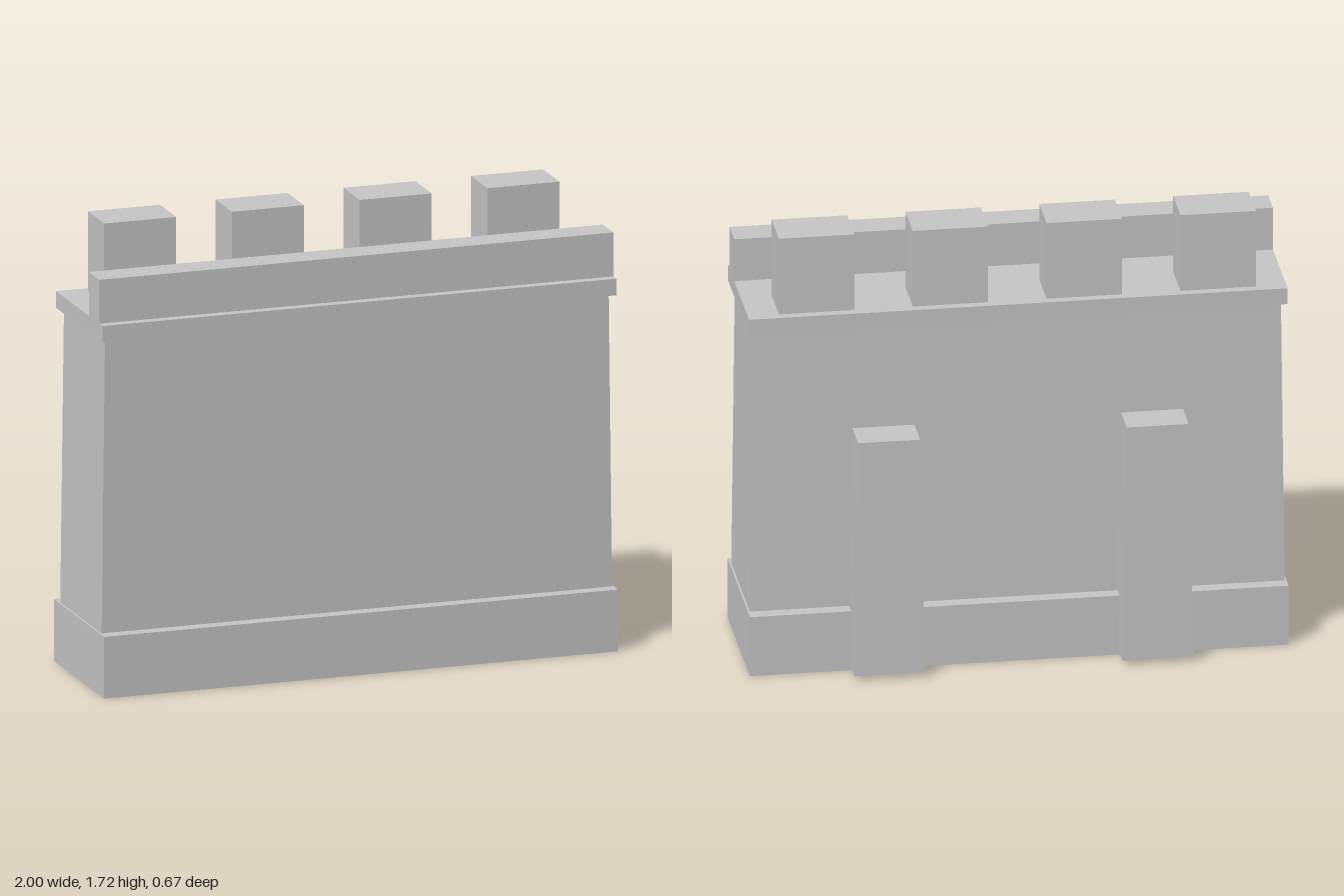
import * as THREE from 'three';

const stone = new THREE.MeshStandardMaterial({ color: 0xc8c8c8 });
stone.name = 'pale grey stone';

// Block from y0 to y1; each rectangle is [x0, x1, z0, z1], the top one may differ for a taper
function block(name, y0, y1, bottom, top = bottom) {
  const geometry = new THREE.BoxGeometry(1, 1, 1).toNonIndexed();
  const p = geometry.attributes.position;
  for (let i = 0; i < p.count; i++) {
    const upper = p.getY(i) > 0;
    const r = upper ? top : bottom;
    p.setXYZ(i, p.getX(i) < 0 ? r[0] : r[1], upper ? y1 : y0, p.getZ(i) < 0 ? r[2] : r[3]);
  }
  geometry.computeVertexNormals();
  const mesh = new THREE.Mesh(geometry, stone);
  mesh.name = name;
  return mesh;
}

export function createModel() {
  const group = new THREE.Group();
  group.name = 'battlementWall';

  // Plinth, slightly tapering wall, walkway slab and front parapet
  group.add(
    block('plinth', 0, 0.235, [-1, 1, -0.228, 0.333]),
    block('wall', 0.235, 1.35, [-0.993, 0.993, -0.176, 0.284], [-0.98, 0.98, -0.172, 0.284]),
    block('walkway', 1.35, 1.413, [-1, 1, -0.205, 0.313]),
    block('parapet', 1.413, 1.58, [-1, 1, 0.161, 0.278]),
  );

  // Row of merlons along the back edge
  for (let i = 0; i < 4; i++) {
    const x = -0.747 + i * 0.497;
    group.add(block('merlon', 1.413, 1.715, [x - 0.14, x + 0.14, -0.171, 0.01]));
  }

  // Tapered buttresses at the back
  for (const x of [-0.5, 0.497]) {
    group.add(block('buttress', 0.02, 0.945,
      [x - 0.131, x + 0.131, -0.333, -0.17],
      [x - 0.115, x + 0.115, -0.322, -0.18]));
  }

  return group;
}
